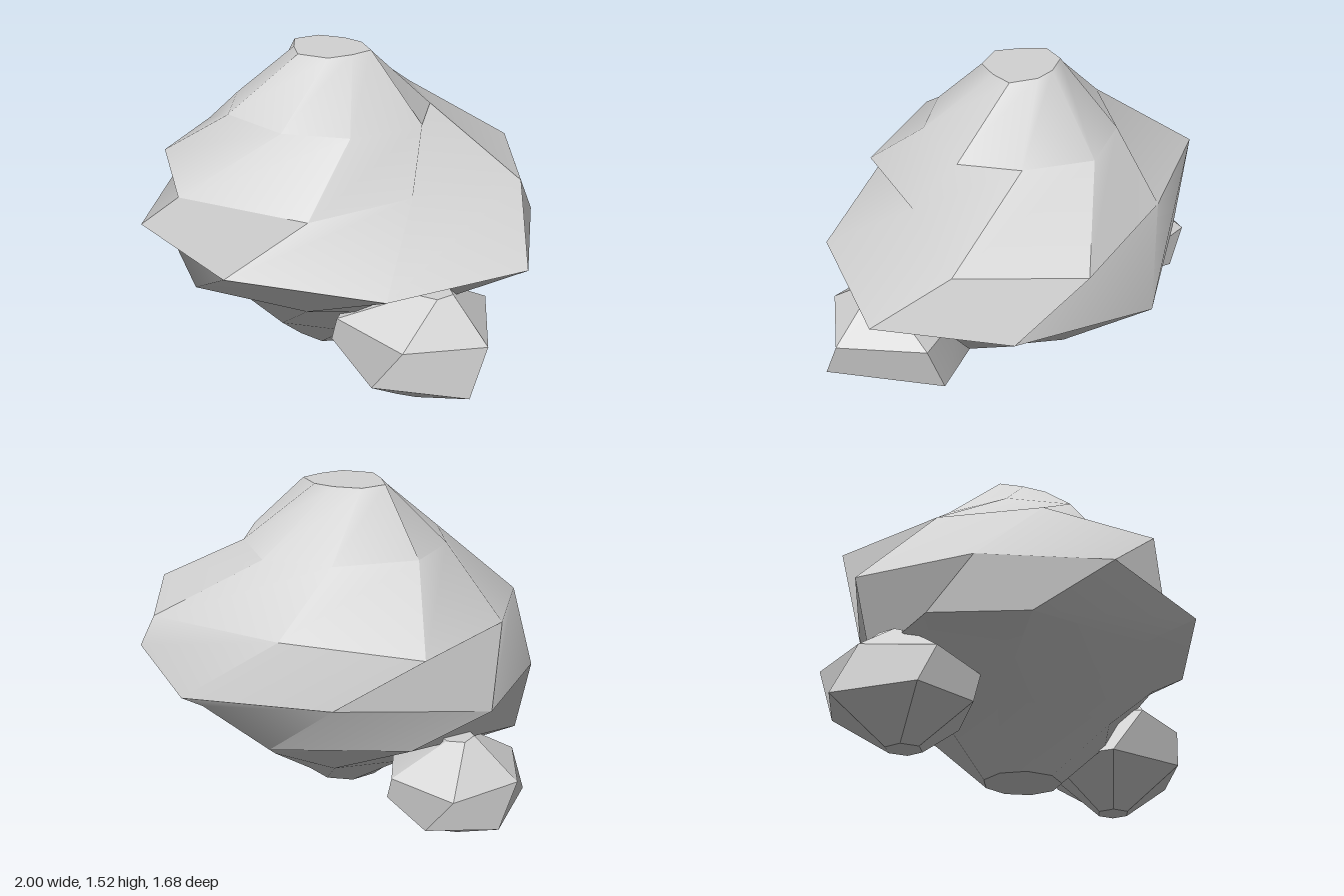
import * as THREE from 'three';

// Regular ring of [x, z] points, used for the small flat ends and lower courses
function disc(cx, cz, rx, rz, n, degrees) {
  return Array.from({ length: n }, (_, i) => {
    const a = (degrees + (i * 360) / n) * Math.PI / 180;
    return [cx + rx * Math.cos(a), cz + rz * Math.sin(a)];
  });
}

// Average normal of a facet that may be slightly twisted
function facetNormal(corners) {
  const normal = new THREE.Vector3();
  corners.forEach((p, i) => {
    normal.add(new THREE.Vector3().crossVectors(p, corners[(i + 1) % corners.length]));
  });
  return normal.normalize();
}

// Skin a stack of twisted rings, bottom to top, with four-sided facets and two flat ends.
// Each facet is shaded as one face and blends only with neighbours at a shallow angle.
function rock(name, rings, material) {
  const n = rings[0].points.length;
  const vertices = rings.flatMap(({ y, points }) => points.map(([x, z]) => new THREE.Vector3(x, y, z)));
  const last = vertices.length - n;
  const facets = [];
  for (let r = 0; r < last; r += n) {
    for (let k = 0; k < n; k++) {
      const next = (k + 1) % n;
      facets.push([r + n + k, r + n + next, r + next, r + k]);
    }
  }
  const ends = Array.from({ length: n }, (_, k) => k);
  facets.push(ends, ends.map((k) => last + n - 1 - k));

  const normals = facets.map((facet) => facetNormal(facet.map((v) => vertices[v])));
  const around = vertices.map((_, v) => normals.filter((_, f) => facets[f].includes(v)));
  const position = [];
  const normal = [];
  facets.forEach((facet, f) => {
    for (let i = 1; i < facet.length - 1; i++) {
      for (const v of [facet[0], facet[i], facet[i + 1]]) {
        const blended = new THREE.Vector3();
        for (const other of around[v]) if (other.dot(normals[f]) > 0.85) blended.add(other);
        position.push(...vertices[v]);
        normal.push(...blended.normalize());
      }
    }
  });
  const geometry = new THREE.BufferGeometry();
  geometry.setAttribute('position', new THREE.Float32BufferAttribute(position, 3));
  geometry.setAttribute('normal', new THREE.Float32BufferAttribute(normal, 3));
  const mesh = new THREE.Mesh(geometry, material);
  mesh.name = name;
  return mesh;
}

export function createModel() {
  const group = new THREE.Group();
  group.name = 'rockCluster';
  const stone = new THREE.MeshStandardMaterial({ color: 0xd2d2d2 });
  stone.name = 'light grey stone';

  // Large boulder: nine-sided rings that twist as they rise
  group.add(rock('mainBoulder', [
    { y: 0.02, points: disc(-0.06, 0, 0.19, 0.18, 9, 80) },
    { y: 0.25, points: disc(-0.06, -0.02, 0.46, 0.44, 9, 58) },
    { y: 0.48, points: [[0.5, 0.42], [0.1, 0.6], [-0.47, 0.62], [-0.87, 0.22], [-0.94, -0.2],
      [-0.55, -0.58], [0.04, -0.76], [0.5, -0.47], [0.72, -0.1]] },
    { y: 0.71, points: [[1, 0.23], [0.53, 0.73], [-0.18, 0.84], [-0.8, 0.55], [-0.97, 0],
      [-0.88, -0.54], [-0.25, -0.76], [0.41, -0.84], [0.86, -0.38]] },
    { y: 0.98, points: [[0.86, -0.1], [0.47, 0.28], [0.15, 0.68], [-0.48, 0.69], [-0.83, 0.26],
      [-0.85, -0.2], [-0.63, -0.72], [0, -0.73], [0.64, -0.62]] },
    { y: 1.245, points: [[0.37, -0.21], [0.43, 0.07], [0.2, 0.35], [-0.1, 0.42], [-0.43, 0.31],
      [-0.54, 0.03], [-0.48, -0.26], [-0.15, -0.47], [0.17, -0.47]] },
    { y: 1.52, points: [[0.04, -0.15], [0.13, -0.05], [0.08, 0.05], [0, 0.14], [-0.15, 0.14],
      [-0.22, 0.04], [-0.27, -0.07], [-0.19, -0.17], [-0.06, -0.18]] },
  ], stone));

  // Small stone at the front left
  group.add(rock('frontStone', [
    { y: 0.01, points: disc(0.51, 0.34, 0.09, 0.08, 6, 50) },
    { y: 0.22, points: [[0.87, 0.58], [0.45, 0.68], [0.13, 0.4], [0.2, 0.08], [0.45, 0.02], [0.74, 0.02]] },
    { y: 0.44, points: [[0.91, 0.48], [0.59, 0.68], [0.22, 0.54], [0.2, 0.25], [0.42, 0.06], [0.78, 0.08]] },
    { y: 0.62, points: disc(0.62, 0.41, 0.1, 0.08, 6, 0) },
  ], stone));

  // Smaller stone at the back right
  group.add(rock('backStone', [
    { y: 0, points: disc(-0.69, -0.35, 0.08, 0.08, 6, 52) },
    { y: 0.165, points: [[-0.42, -0.2], [-0.74, -0.05], [-1, -0.2], [-0.95, -0.58], [-0.65, -0.69], [-0.42, -0.48]] },
    { y: 0.34, points: [[-0.4, -0.3], [-0.6, -0.06], [-0.93, -0.15], [-1, -0.45], [-0.77, -0.71], [-0.47, -0.6]] },
    { y: 0.5, points: disc(-0.71, -0.4, 0.08, 0.08, 6, -10) },
  ], stone));

  return group;
}
